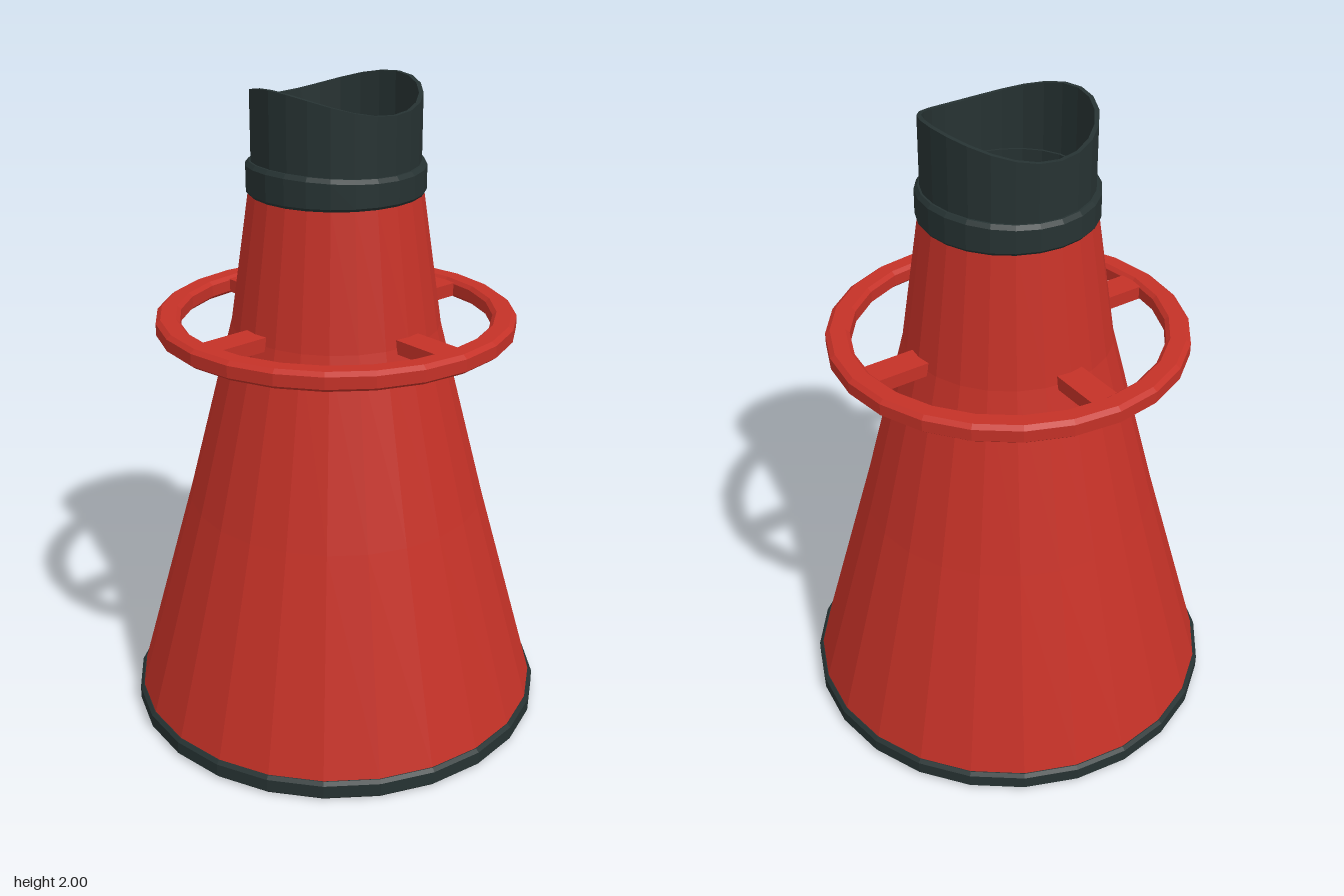
import * as THREE from 'three';

const SIDES = 24;

function material(name, color) {
  const m = new THREE.MeshStandardMaterial({ color, flatShading: true });
  m.name = name;
  return m;
}

// Revolved part; profile runs up the outside, then down the inside
function lathe(name, profile, mat) {
  const points = profile.map(([r, y]) => new THREE.Vector2(r, y));
  const mesh = new THREE.Mesh(new THREE.LatheGeometry(points, SIDES), mat);
  mesh.name = name;
  return mesh;
}

// Bend the upper rim into a saddle: low at the sides, high at front and back
function saddle(mesh, fromY, drop) {
  const p = mesh.geometry.attributes.position;
  for (let i = 0; i < p.count; i++) {
    const x = p.getX(i), y = p.getY(i), r2 = x * x + p.getZ(i) ** 2;
    if (y > fromY) p.setY(i, y - drop * x * x / r2);
  }
  mesh.geometry.computeVertexNormals();
}

function disc(name, radius, y, up, mat) {
  const mesh = new THREE.Mesh(new THREE.CircleGeometry(radius, SIDES), mat);
  mesh.name = name;
  mesh.rotation.x = up ? -Math.PI / 2 : Math.PI / 2;
  mesh.position.y = y;
  return mesh;
}

export function createModel() {
  const red = material('red shell', 0xc43127);
  const rubber = material('dark rubber', 0x263232);
  const glass = material('pale glass', 0xcddada);
  const model = new THREE.Group();
  model.name = 'viewingCone';

  // Tapered body in three sections
  model.add(lathe('body', [[0.645, 0.05], [0.462, 0.715], [0.318, 1.28], [0.258, 1.69]], red));

  // Base rim and large glass
  model.add(lathe('baseRim', [
    [0.6, 0], [0.645, 0], [0.655, 0.01], [0.655, 0.05], [0.645, 0.06],
    [0.6, 0.06], [0.6, 0],
  ], rubber));
  model.add(disc('baseGlass', 0.605, 0.005, false, glass));

  // Collar around the neck
  const collar = lathe('collar', [
    [0.23, 1.68], [0.258, 1.68], [0.266, 1.69], [0.266, 1.768], [0.256, 1.78],
    [0.23, 1.78], [0.23, 1.68],
  ], rubber);
  saddle(collar, 1.75, 0.012);
  model.add(collar);
  model.add(disc('eyeGlass', 0.235, 1.73, true, glass));

  // Eyecup with a curved rim
  const cup = lathe('eyecup', [[0.25, 1.74], [0.25, 2], [0.237, 2], [0.237, 1.74]], rubber);
  saddle(cup, 1.9, 0.065);
  model.add(cup);

  // Carrying ring on four spokes
  model.add(lathe('handleRing', [
    [0.485, 1.257], [0.532, 1.257], [0.546, 1.268], [0.546, 1.304], [0.532, 1.315],
    [0.485, 1.315], [0.473, 1.304], [0.473, 1.268], [0.485, 1.257],
  ], red));
  for (let i = 0; i < 4; i++) {
    const a = i * Math.PI / 2;
    const spoke = new THREE.Mesh(new THREE.BoxGeometry(0.18, 0.042, 0.088), red);
    spoke.name = 'spoke';
    spoke.position.set(Math.cos(a) * 0.39, 1.286, -Math.sin(a) * 0.39);
    spoke.rotation.y = a;
    model.add(spoke);
  }
  return model;
}
